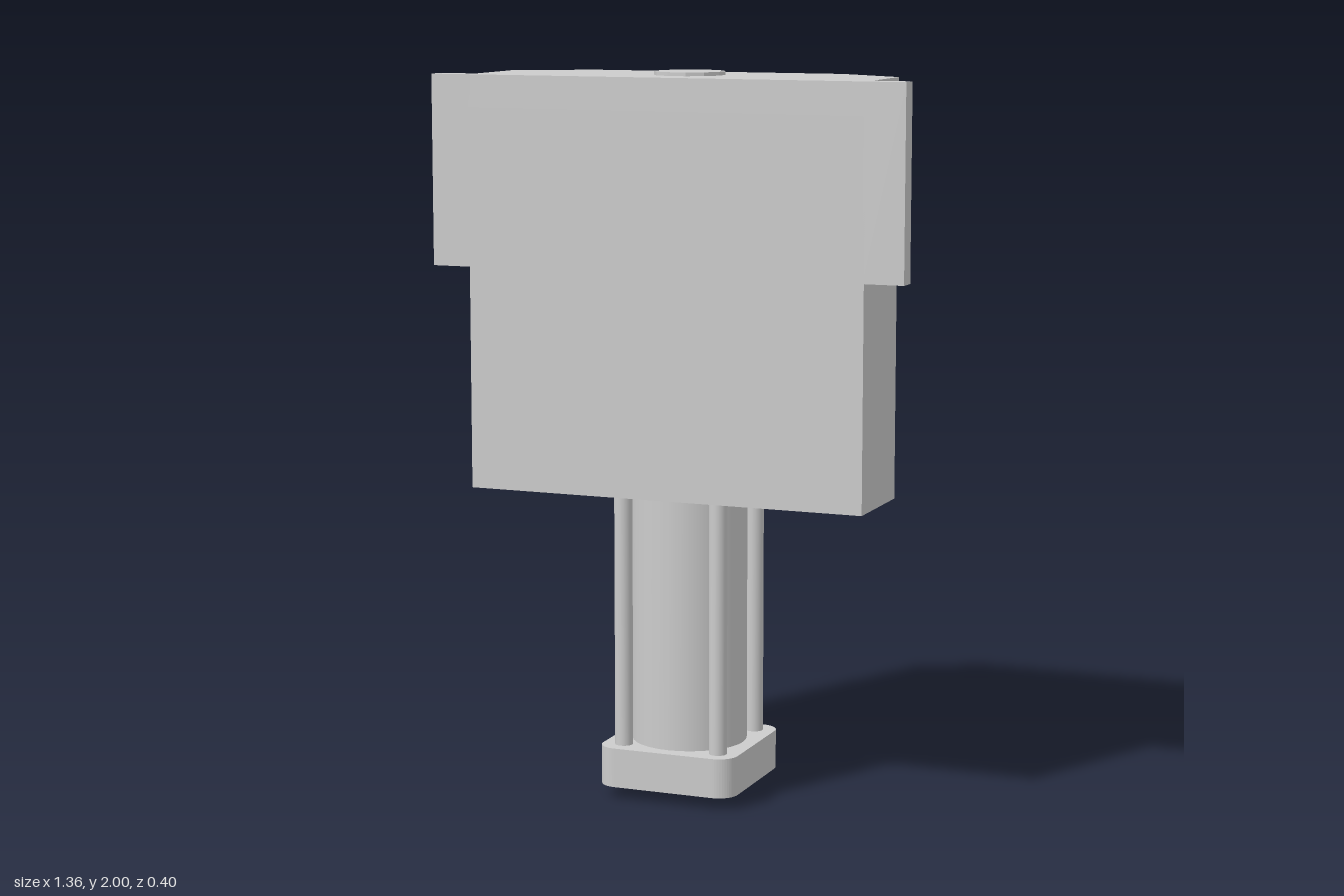
import * as THREE from 'three';

const mat = new THREE.MeshStandardMaterial({ color: 0xcccccc });
const flat = new THREE.MeshStandardMaterial({ color: 0xcccccc, flatShading: true });

function add(parent, name, geometry, x = 0, y = 0, z = 0, material = mat) {
  const mesh = new THREE.Mesh(geometry, material);
  mesh.name = name;
  mesh.position.set(x, y, z);
  parent.add(mesh);
  return mesh;
}

// Extrudes a footprint (x, -z) upwards from y0 to y1
function prism(shape, y0, y1) {
  const g = new THREE.ExtrudeGeometry(shape, { depth: y1 - y0, bevelEnabled: false, curveSegments: 6 });
  return g.rotateX(-Math.PI / 2).translate(0, y0, 0);
}

function footprint() {
  return new THREE.Shape([
    [-0.57, -0.2], [0.57, -0.2], [0.57, 0.075], [0.37, 0.2], [-0.37, 0.2], [-0.57, 0.075],
  ].map(([x, y]) => new THREE.Vector2(x, y)));
}

function roundedSquare(h, r) {
  const s = new THREE.Shape();
  s.absarc(h - r, h - r, r, 0, Math.PI / 2);
  s.absarc(r - h, h - r, r, Math.PI / 2, Math.PI);
  s.absarc(r - h, r - h, r, Math.PI, Math.PI * 1.5);
  s.absarc(h - r, r - h, r, Math.PI * 1.5, Math.PI * 2);
  s.closePath();
  return s;
}

// Socket-head bolt with washer, pointing to -z from the flange back
function bolt() {
  const g = new THREE.Group();
  g.name = 'flangeBolt';
  add(g, 'washer', new THREE.CylinderGeometry(0.052, 0.052, 0.005, 24), 0, 0.0025, 0);
  const head = new THREE.Shape().absarc(0, 0, 0.026, 0, Math.PI * 2);
  const socket = [];
  for (let i = 0; i < 6; i++) {
    const a = (i * Math.PI) / 3;
    socket.push(new THREE.Vector2(0.014 * Math.cos(a), 0.014 * Math.sin(a)));
  }
  head.holes.push(new THREE.Path(socket));
  add(g, 'boltHead', prism(head, 0.005, 0.03));
  add(g, 'socketFloor', new THREE.CylinderGeometry(0.018, 0.018, 0.01, 12), 0, 0.01, 0);
  g.rotation.x = -Math.PI / 2;
  return g;
}

export function createModel() {
  const model = new THREE.Group();
  model.name = 'actuatorUnit';

  // Housing: hollow from below, closed on top
  const walls = footprint();
  walls.holes.push(new THREE.Path([
    [-0.36, -0.15], [-0.36, 0.15], [0.36, 0.15], [0.36, -0.15],
  ].map(([x, y]) => new THREE.Vector2(x, y))));
  add(model, 'housingWalls', prism(walls, 0.85, 1.9), 0, 0, 0, flat);
  add(model, 'housingTop', prism(footprint(), 1.9, 1.99), 0, 0, 0, flat);

  // Mounting flanges and their bolts
  for (const s of [-1, 1]) {
    add(model, 'mountingFlange', new THREE.BoxGeometry(0.115, 0.525, 0.052), s * 0.6225, 1.7275, 0.174);
    for (const y of [1.56, 1.9]) {
      const b = bolt();
      b.position.set(s * 0.625, y, 0.148);
      model.add(b);
    }
  }

  // Low round cap on top
  add(model, 'topCap', new THREE.CylinderGeometry(0.098, 0.098, 0.012, 12).rotateY(Math.PI / 12), 0, 1.994, 0, flat);

  // Barrel and four tie rods
  add(model, 'barrel', new THREE.CylinderGeometry(0.16, 0.16, 1.76, 32), 0, 1.02, 0);
  for (const x of [-0.14, 0.14]) {
    for (const z of [-0.14, 0.14]) {
      add(model, 'tieRod', new THREE.CylinderGeometry(0.025, 0.025, 1.76, 16), x, 1.02, z);
    }
  }

  // End plate with tapered boss underneath
  add(model, 'endPlate', prism(roundedSquare(0.2, 0.055), 0.035, 0.145));
  add(model, 'endBoss', new THREE.CylinderGeometry(0.098, 0.075, 0.035, 12).rotateY(Math.PI / 12), 0, 0.0175, 0, flat);

  return model;
}
